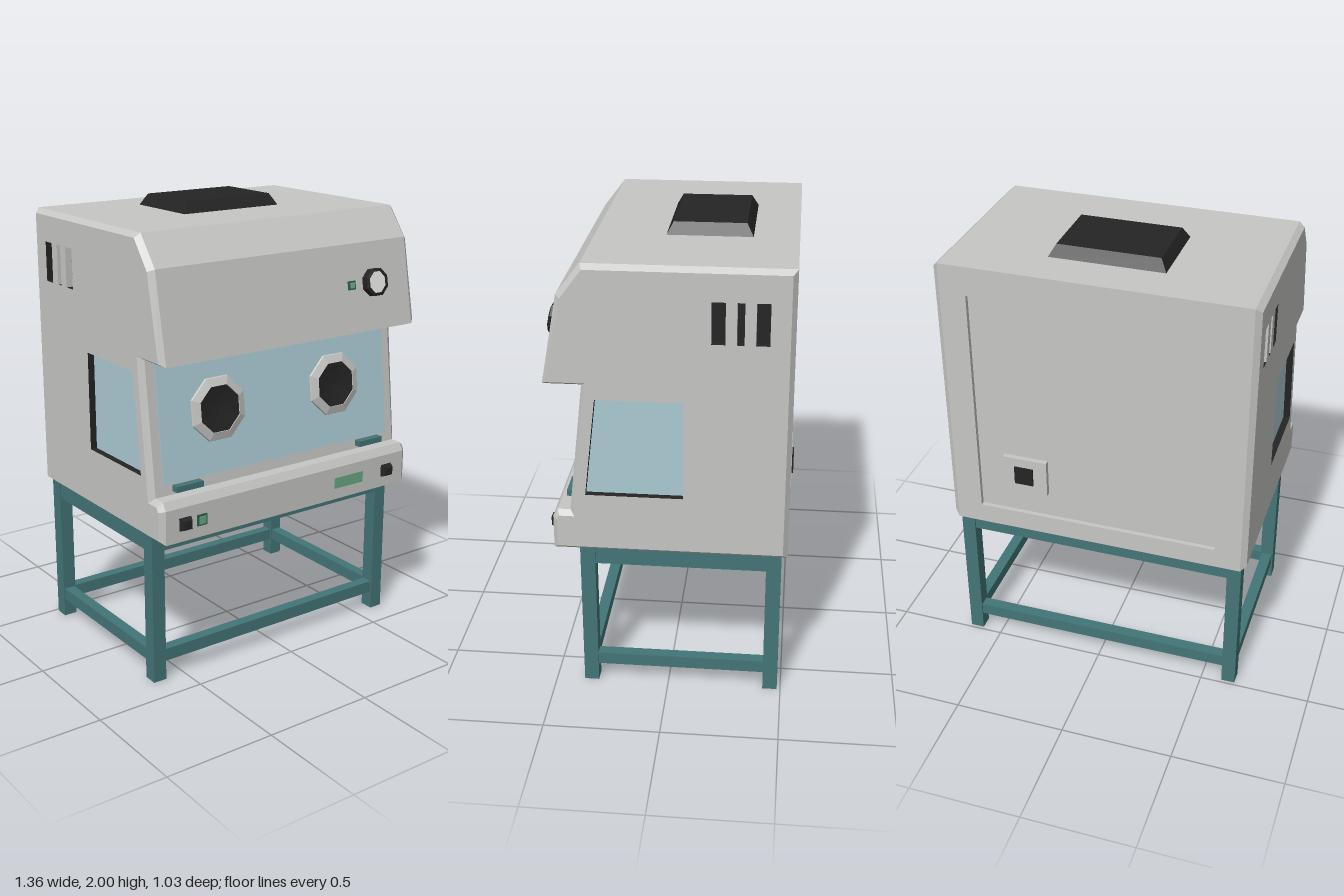
import * as THREE from 'three';

const mat = (name, color, side = THREE.FrontSide) => {
  const m = new THREE.MeshStandardMaterial({ color, side });
  m.name = name;
  return m;
};
const flat = (g) => {
  const f = g.index ? g.toNonIndexed() : g;
  f.computeVertexNormals();
  return f;
};

// Side profile of the cabinet as [z, y], and the same profile inset for the chamfered sides
const OUTER = [[-0.51, 0.68], [0.485, 0.68], [0.485, 0.83], [0.465, 0.865], [0.41, 0.865],
  [0.345, 1.44], [0.505, 1.44], [0.435, 1.82], [0.335, 1.95], [-0.51, 1.95]];
const INSET = [[-0.49, 0.70], [0.465, 0.70], [0.465, 0.825], [0.455, 0.845], [0.39, 0.845],
  [0.325, 1.455], [0.485, 1.455], [0.415, 1.81], [0.325, 1.93], [-0.49, 1.93]];
const SIDE_X = 0.68, CORE_X = 0.655, RECESS = 0.03;

// Faces between two outlines lying in planes of constant x
function loft(a, xa, b, xb, closed = true) {
  const pos = [];
  for (let i = 0; i < (closed ? a.length : a.length - 1); i++) {
    const j = (i + 1) % a.length;
    const [p, q, r, s] = [[xa, a[i]], [xb, b[i]], [xb, b[j]], [xa, a[j]]]
      .map(([x, [z, y]]) => [x, y, z]);
    pos.push(...p, ...q, ...r, ...p, ...r, ...s);
  }
  const g = new THREE.BufferGeometry();
  g.setAttribute('position', new THREE.Float32BufferAttribute(pos, 3));
  g.computeVertexNormals();
  return g;
}

// Flat face in the plane x, facing outwards on side s (+1 or -1)
function sideFace(s, x, outline, holes = []) {
  const v = (pts) => pts.map(([z, y]) => new THREE.Vector2(-s * z, y));
  const shape = new THREE.Shape(v(outline));
  holes.forEach((h) => shape.holes.push(new THREE.Path(v(h))));
  return new THREE.ShapeGeometry(shape).rotateY(s * Math.PI / 2).translate(s * x, 0, 0);
}

const rect = (a, b, c, d) => [[a, c], [b, c], [b, d], [a, d]];

export function createModel() {
  const grey = mat('cabinet grey', 0xc6c6c5);
  const teal = mat('frame teal', 0x437577);
  const black = mat('black plastic', 0x242424, THREE.DoubleSide);
  const glass = mat('pale blue glass', 0xaccbd4);
  const green = mat('indicator green', 0x6aa885);
  const darkGreen = mat('indicator rim', 0x2c5c48);
  const white = mat('dial white', 0xe6e6e4);

  const model = new THREE.Group();
  const add = (name, geo, m, parent = model) => {
    const mesh = new THREE.Mesh(geo, m);
    mesh.name = name;
    parent.add(mesh);
    return mesh;
  };
  const box = (name, m, x, y, z, w, h, d, parent = model) => {
    const mesh = add(name, new THREE.BoxGeometry(w, h, d), m, parent);
    mesh.position.set(x, y, z);
    return mesh;
  };
  const group = (name, x, y, z, tilt = 0) => {
    const g = new THREE.Group();
    g.name = name;
    g.position.set(x, y, z);
    g.rotation.x = -tilt;
    model.add(g);
    return g;
  };

  // Cabinet shell
  add('cabinetShell', loft(OUTER, -CORE_X, OUTER, CORE_X, false), grey);
  add('rightChamfer', loft(INSET, -SIDE_X, OUTER, -CORE_X), grey);
  add('leftChamfer', loft(OUTER, CORE_X, INSET, SIDE_X), grey);

  // Sides with a recessed window and a slatted vent
  const windowHole = [[0.34, 0.95], [0.29, 1.385], [-0.07, 1.385], [-0.07, 0.95]];
  const ventHole = rect(-0.41, -0.18, 1.64, 1.815);
  for (const s of [1, -1]) {
    const deep = SIDE_X - RECESS;
    add('sidePanel', sideFace(s, SIDE_X, INSET, [windowHole, ventHole]), grey);
    add('sideWindowRim', loft(windowHole, s * deep, windowHole, s * SIDE_X), black);
    add('sideWindow', sideFace(s, deep, windowHole), glass);
    add('ventRim', loft(ventHole, s * deep, ventHole, s * SIDE_X), black);
    add('ventFloor', sideFace(s, deep, ventHole), black);
    for (const z of [-0.2575, -0.3325]) {
      box('ventSlat', grey, s * (SIDE_X - RECESS / 2), 1.7275, z, RECESS, 0.175, 0.045);
    }
  }

  // Back with a recessed service panel and a raised socket
  const v2 = (pts) => pts.map(([x, y]) => new THREE.Vector2(x, y));
  const backShape = new THREE.Shape(v2(rect(-CORE_X, CORE_X, 0.68, 1.95)));
  backShape.holes.push(new THREE.Path(v2(rect(-0.54, 0.54, 0.77, 1.82))));
  add('backFrame', new THREE.ExtrudeGeometry(backShape, { depth: 0.02, bevelEnabled: false })
    .translate(0, 0, -0.51), grey);
  box('backPanel', grey, 0, 1.295, -0.485, 1.1, 1.07, 0.01);
  box('socketPlate', grey, 0.32, 0.975, -0.5, 0.2, 0.17, 0.025);
  box('socket', black, 0.325, 0.975, -0.512, 0.085, 0.085, 0.015);

  // Sloping front window with two eight-sided glove ports
  const slope = Math.atan2(0.065, 0.575);
  const slopeZ = (y) => 0.41 - 0.113 * (y - 0.865);
  const front = group('frontWindow', 0, 1.1735, slopeZ(1.1735), slope);
  box('frontGlass', glass, 0, 0, 0.001, 1.226, 0.527, 0.008, front);
  const lathe = (pts) => flat(new THREE.LatheGeometry(
    v2(pts), 8, Math.PI / 8).rotateX(Math.PI / 2));
  for (const x of [-0.318, 0.315]) {
    const port = group('glovePort', x, 1.185, slopeZ(1.185), slope);
    add('portRing', lathe([[0.148, 0], [0.143, 0.012], [0.106, 0.024], [0.104, 0.01]]), grey, port);
    add('portGlove', lathe([[0.106, 0.02], [0.06, 0.014], [0, 0.008]]), black, port);
  }
  for (const x of [-0.502, 0.497]) {
    box('windowLatch', teal, x, 0.892, 0.422, 0.135, 0.026, 0.036);
  }

  // Hood gauge and lamp
  const hoodTilt = Math.atan2(0.07, 0.38);
  const hoodZ = (y) => 0.505 - 0.184 * (y - 1.44);
  const gauge = group('gauge', 0.45, 1.645, hoodZ(1.645), hoodTilt);
  add('gaugeRim', lathe([[0.064, 0], [0.064, 0.03], [0.05, 0.035], [0.05, 0.02]]), black, gauge);
  add('gaugeFace', lathe([[0.051, 0.028], [0, 0.028]]), white, gauge);

  // Green lamp with a dark rim
  const lamp = (x, y, z, size, tilt) => {
    const g = group('lamp', x, y, z, tilt);
    box('lampRim', darkGreen, 0, 0, 0.003, size, size, 0.01, g);
    box('lampFace', green, 0, 0, 0.006, size - 0.014, size - 0.014, 0.01, g);
  };
  lamp(0.325, 1.645, hoodZ(1.645), 0.038, hoodTilt);

  // Controls on the lower ledge
  lamp(-0.478, 0.757, 0.485, 0.048, 0);
  box('display', green, 0.327, 0.757, 0.486, 0.165, 0.05, 0.008);

  // Box whose +z face (or +y face) is smaller than its base
  const tapered = (w, h, d, inset, axis) => {
    const g = new THREE.BoxGeometry(w, h, d);
    const p = g.attributes.position;
    for (let i = 0; i < p.count; i++) {
      const v = new THREE.Vector3().fromBufferAttribute(p, i);
      if (v[axis] < 0) continue;
      for (const k of ['x', 'y', 'z']) if (k !== axis) v[k] -= Math.sign(v[k]) * inset;
      p.setXYZ(i, v.x, v.y, v.z);
    }
    return flat(g);
  };
  for (const x of [-0.56, 0.553]) {
    add('switch', tapered(0.06, 0.058, 0.026, 0.01, 'z'), black).position.set(x, 0.757, 0.497);
  }

  // Exhaust cap on the roof
  add('exhaustCap', tapered(0.5, 0.05, 0.36, 0.028, 'y'), black).position.set(0, 1.975, -0.14);

  // Stand: four legs with upper and lower rails
  const LEG_X = 0.625, FRONT_Z = 0.343, BACK_Z = -0.453;
  const midZ = (FRONT_Z + BACK_Z) / 2;
  for (const x of [-LEG_X, LEG_X]) {
    for (const z of [FRONT_Z, BACK_Z]) box('leg', teal, x, 0.34, z, 0.062, 0.68, 0.064);
  }
  for (const [name, y, h] of [['upperRail', 0.641, 0.076], ['lowerRail', 0.111, 0.056]]) {
    for (const z of [FRONT_Z, BACK_Z]) box(name, teal, 0, y, z, 2 * LEG_X - 0.06, h, 0.05);
    for (const x of [-LEG_X, LEG_X]) box(name, teal, x, y, midZ, 0.05, h, FRONT_Z - BACK_Z - 0.062);
  }
  return model;
}
